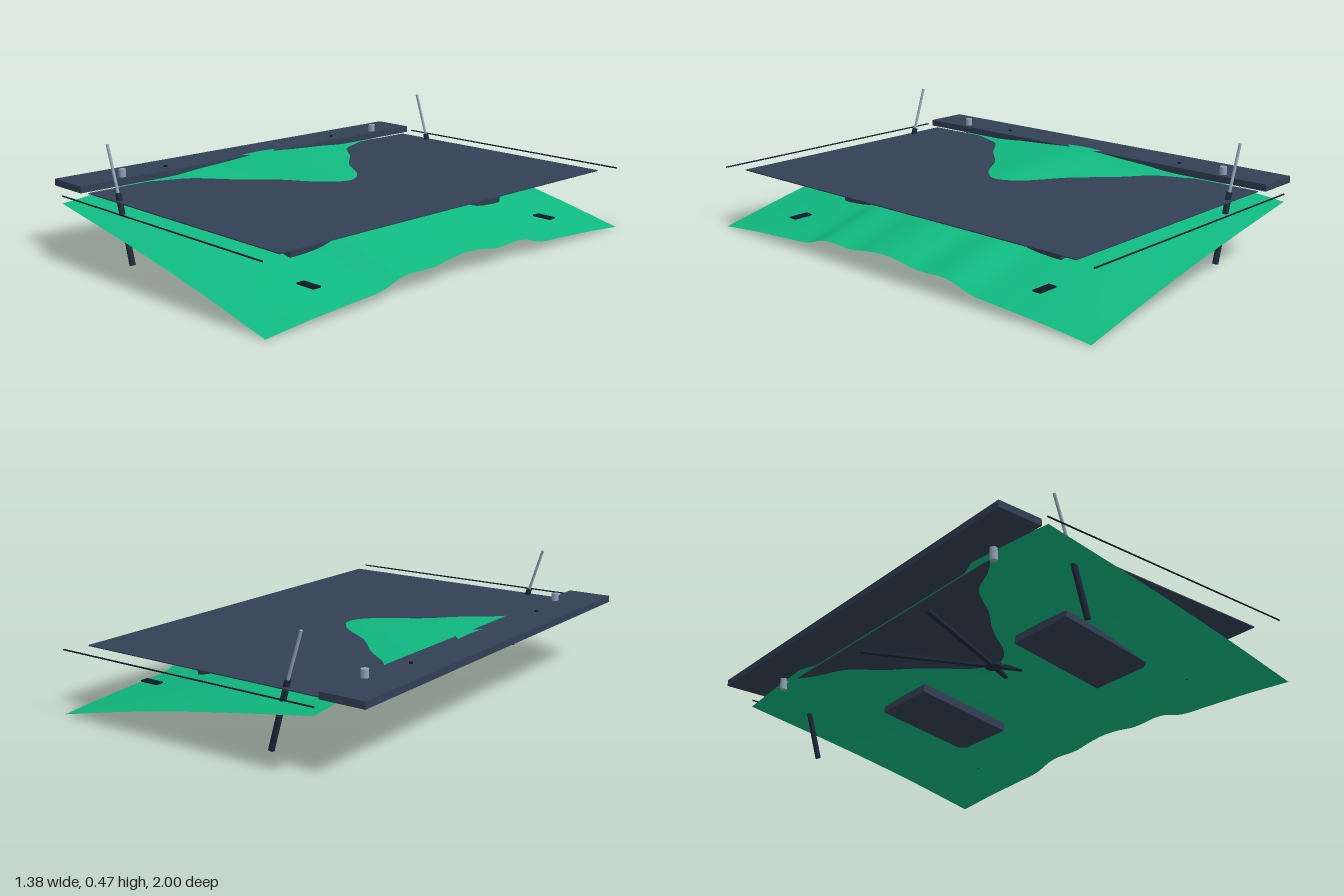
import * as THREE from 'three';

const mat = (color, side = THREE.FrontSide) => new THREE.MeshStandardMaterial({ color, side });
const green = mat(0x10b981, THREE.DoubleSide);
const slate = mat(0x334155);
const dark = mat(0x1e293b);
const black = mat(0x0f172a);
const steel = mat(0x94a3b8);

// smooth interpolation through [position, value] pairs
function curve(pairs) {
  const f = new THREE.CubicInterpolant(pairs.map(p => p[0]), pairs.map(p => p[1]), 1);
  return t => f.evaluate(t)[0];
}

// lengthwise profiles of the panel: centre line and side edge
const centre = curve([[-0.53, 0.301], [-0.2, 0.285], [0.06, 0.265], [0.2, 0.233], [0.4, 0.178], [0.69, 0.094]]);
const edge = curve([[-0.53, 0.235], [0, 0.147], [0.35, 0.079], [0.69, 0.003]]);
// crown of the panel across its width, at the back and at the front
const crownBack = curve([[-0.1, 0.95], [0, 1], [0.1, 0.95], [0.2, 0.85], [0.25, 0.81], [0.35, 0.73], [0.45, 0.61], [0.6, 0.52], [0.8, 0.29], [1, 0]]);
const crownFront = curve([[-0.1, 0.91], [0, 1], [0.1, 0.91], [0.17, 0.79], [0.23, 0.78], [0.3, 0.82], [0.36, 0.76], [0.45, 0.47], [0.6, 0.34], [0.8, 0.2], [1, 0]]);

function panelHeight(x, z) {
  const a = Math.abs(z);
  const t = THREE.MathUtils.smoothstep(x, -0.2, 0.69);
  const w = THREE.MathUtils.lerp(crownBack(a), crownFront(a), t);
  return THREE.MathUtils.lerp(edge(x), centre(x), w);
}

export function createModel() {
  const model = new THREE.Group();

  function add(name, geometry, material, x = 0, y = 0, z = 0) {
    const mesh = new THREE.Mesh(geometry, material);
    mesh.name = name;
    mesh.position.set(x, y, z);
    model.add(mesh);
    return mesh;
  }
  const box = (name, material, size, pos) => add(name, new THREE.BoxGeometry(...size), material, ...pos);

  // round rod between two points
  function rod(name, material, a, b, radius) {
    const from = new THREE.Vector3(...a), to = new THREE.Vector3(...b);
    const dir = to.clone().sub(from);
    const mesh = add(name, new THREE.CylinderGeometry(radius, radius, dir.length(), 16), material);
    mesh.position.copy(from).lerp(to, 0.5);
    mesh.quaternion.setFromUnitVectors(new THREE.Vector3(0, 1, 0), dir.normalize());
  }

  // curved, crowned panel
  const skin = new THREE.PlaneGeometry(1.22, 2, 60, 120).rotateX(-Math.PI / 2).translate(0.08, 0, 0);
  const p = skin.attributes.position;
  for (let i = 0; i < p.count; i++) p.setY(i, panelHeight(p.getX(i), p.getZ(i)));
  skin.computeVertexNormals();
  add('curvedPanel', skin, green);

  // flat inner sheet and rear cowl bar
  box('innerSheet', slate, [1.15, 0.004, 1.8], [0.075, 0.264, 0]);
  box('rearBar', slate, [0.19, 0.028, 1.87], [-0.595, 0.284, 0]);

  // crossed braces below the sheet
  const braceAngle = Math.atan2(0.46, 1.03);
  for (const s of [-1, 1]) {
    box('crossBrace', dark, [1.12, 0.015, 0.02], [0.055, 0.246, 0]).rotation.y = s * braceAngle;
  }
  add('braceHub', new THREE.CylinderGeometry(0.035, 0.035, 0.016, 20), dark, 0.055, 0.246, 0);

  // parts mirrored on both sides
  for (const s of [-1, 1]) {
    rod('edgeSeal', black, [-0.53, 0.265, s * 0.998], [0.68, 0.265, s * 0.998], 0.003);
    rod('hingePin', steel, [-0.533, 0.22, s * 0.717], [-0.533, 0.33, s * 0.717], 0.015);
    rod('washerNozzle', black, [-0.567, 0.29, s * 0.48], [-0.567, 0.303, s * 0.48], 0.008);
    rod('strutRod', steel, [-0.385, 0.476, s * 0.877], [-0.31, 0.25, s * 0.877], 0.006);
    rod('strutCylinder', dark, [-0.324, 0.293, s * 0.877], [-0.244, 0.02, s * 0.877], 0.012);
    box('frontTab', black, [0.088, 0.006, 0.036], [0.543, 0.081, s * 0.675]);

    // sloping vent box with three slats
    const vent = box('vent', slate, [0.45, 0.036, 0.3], [0.14, 0.177, s * 0.45]);
    vent.rotation.z = -0.157;
    for (const z of [-0.075, 0, 0.075]) {
      const slat = new THREE.Mesh(new THREE.BoxGeometry(0.16, 0.008, 0.025), black);
      slat.name = 'ventSlat';
      slat.position.set(0.02, 0.02, z);
      slat.rotation.z = 0.1;
      vent.add(slat);
    }
  }
  return model;
}
